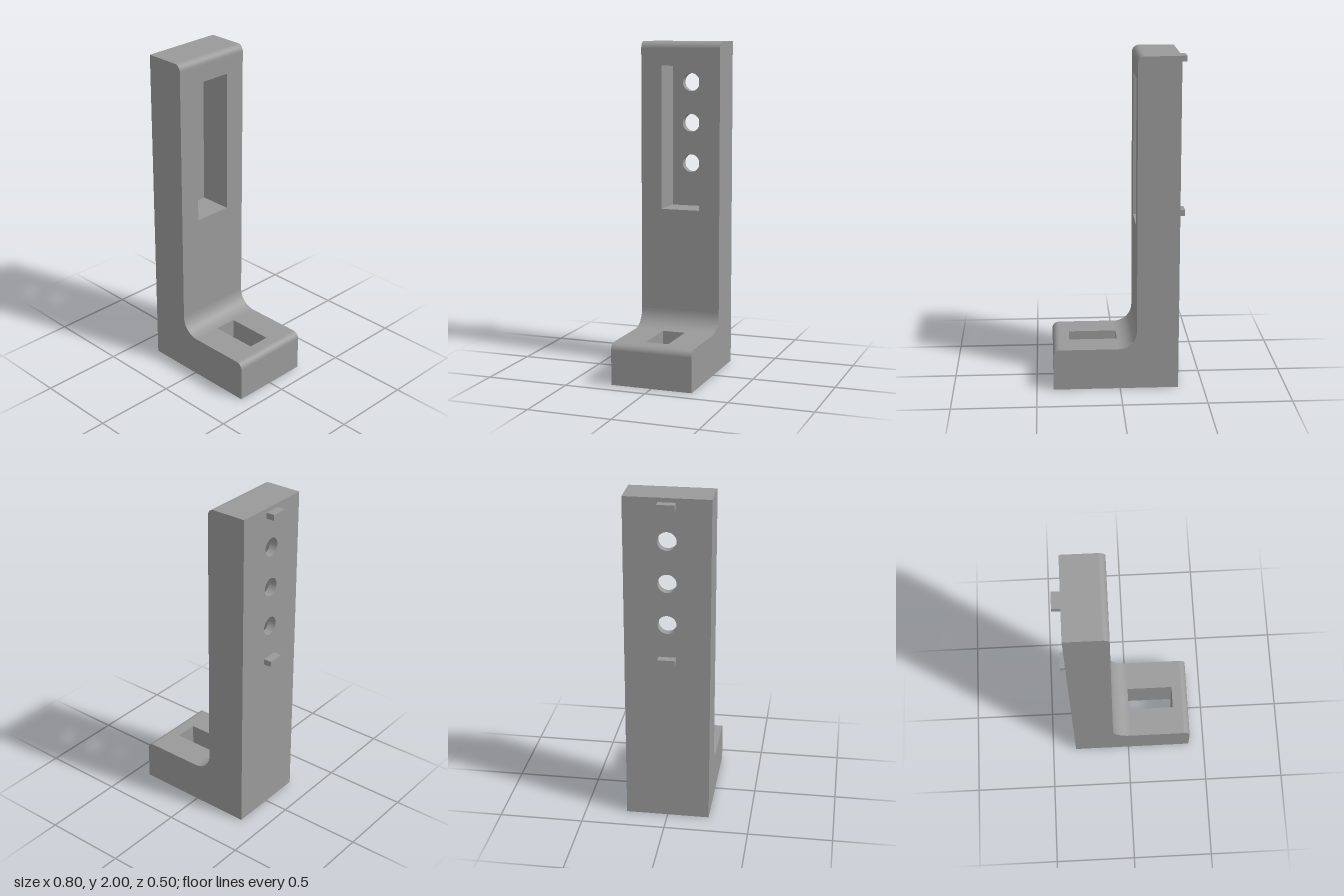
import * as THREE from 'three';

// Key positions
const BACK = -0.35, FACE = -0.1, TOE = 0.4, HALF = 0.25, BASE = 0.25, TOP = 2;
const R = 0.04, FILLET = 0.11;                                  // edge rounds, inner corner
const POCKET = { y0: 0.985, y1: 1.855, z: 0.12, floor: -0.3 };  // recess in the upright
const SLOT = { x0: 0.01, x1: 0.3, z: 0.07 };                    // opening through the foot
const HOLE_R = 0.055, HOLE_Y = [1.25, 1.5, 1.75];

const X = new THREE.Vector3(1, 0, 0), Y = new THREE.Vector3(0, 1, 0), Z = new THREE.Vector3(0, 0, 1);
const neg = v => v.clone().negate();

function rect(u0, u1, v0, v1, PathType = THREE.Shape) {
  return new PathType([[u0, v0], [u1, v0], [u1, v1], [u0, v1]].map(p => new THREE.Vector2(...p)));
}

export function createModel() {
  const group = new THREE.Group();
  const grey = new THREE.MeshStandardMaterial({ color: 0x999999 });

  const add = (name, geometry) => {
    const mesh = new THREE.Mesh(geometry, grey);
    mesh.name = name;
    group.add(mesh);
    return mesh;
  };

  // Flat face spanned by directions u and v, facing u x v, offset along its normal
  const panel = (name, shape, u, v, offset, holes = []) => {
    shape.holes.push(...holes);
    const n = u.clone().cross(v);
    const m = new THREE.Matrix4().makeBasis(u, v, n).setPosition(n.clone().multiplyScalar(offset));
    add(name, new THREE.ShapeGeometry(shape, 24).applyMatrix4(m));
  };

  // Turns a symmetric surface inside out by mirroring it
  const inward = g => {
    g.scale(-1, 1, 1);
    g.computeVertexNormals();
    return g;
  };

  // Inward-facing box walls without the open sides (0..5 = +x -x +y -y +z -z)
  const cavity = (name, x0, x1, y0, y1, z, open) => {
    const g = new THREE.BoxGeometry(x1 - x0, y1 - y0, 2 * z);
    g.setIndex([...g.index.array].filter((_, i) => !open.includes(Math.floor(i / 6))));
    g.clearGroups();
    add(name, inward(g).translate((x0 + x1) / 2, (y0 + y1) / 2, 0));
  };

  // Quarter-round strip running along z
  const round = (name, x, y, r, start, concave) => {
    const g = new THREE.CylinderGeometry(r, r, 2 * HALF, 12, 1, true, start, Math.PI / 2);
    g.rotateX(Math.PI / 2);
    if (concave) {
      // reverse the faces and normals
      g.setIndex([...g.index.array].reverse());
      g.computeVertexNormals();
    }
    add(name, g.translate(x, y, 0));
  };

  // L-shaped side faces
  const profile = new THREE.Shape();
  profile.moveTo(BACK, 0);
  profile.lineTo(TOE, 0);
  profile.absarc(TOE - R, BASE - R, R, 0, Math.PI / 2);
  profile.absarc(FACE + FILLET, BASE + FILLET, FILLET, 1.5 * Math.PI, Math.PI, true);
  profile.absarc(FACE - R, TOP - R, R, 0, Math.PI / 2);
  profile.lineTo(BACK, TOP);
  panel('leftSide', profile, X, Y, HALF);
  const mirrored = new THREE.Shape(profile.getPoints(24).map(p => new THREE.Vector2(-p.x, p.y)).reverse());
  panel('rightSide', mirrored, neg(X), Y, HALF);

  // Upright faces, with round holes behind and the recess opening in front
  const circles = HOLE_Y.map(y => new THREE.Path().absarc(0, y, HOLE_R, 0, 2 * Math.PI));
  panel('uprightBack', rect(-HALF, HALF, 0, TOP), Z, Y, -BACK, circles);
  panel('uprightFace', rect(-HALF, HALF, BASE + FILLET, TOP - R), neg(Z), Y, FACE,
    [rect(-POCKET.z, POCKET.z, POCKET.y0, POCKET.y1, THREE.Path)]);
  panel('uprightTop', rect(BACK, FACE - R, -HALF, HALF), X, neg(Z), TOP);

  // Foot faces with the slot opening
  const slotPath = () => rect(SLOT.x0, SLOT.x1, -SLOT.z, SLOT.z, THREE.Path);
  panel('footTop', rect(FACE + FILLET - 0.001, TOE - R, -HALF, HALF), X, neg(Z), BASE, [slotPath()]);
  panel('footBottom', rect(BACK, TOE, -HALF, HALF), X, Z, 0, [slotPath()]);
  panel('footEnd', rect(-HALF, HALF, 0, BASE - R), neg(Z), Y, TOE);

  // Rounded edges and inner corner
  round('topRound', FACE - R, TOP - R, R, Math.PI / 2);
  round('footRound', TOE - R, BASE - R, R, Math.PI / 2);
  round('innerCorner', FACE + FILLET, BASE + FILLET, FILLET, 1.5 * Math.PI, true);

  // Recess walls and its floor, pierced by the holes
  cavity('recessWalls', POCKET.floor, FACE, POCKET.y0, POCKET.y1, POCKET.z, [0, 1]);
  panel('recessFloor', rect(-POCKET.z, POCKET.z, POCKET.y0, POCKET.y1), neg(Z), Y, POCKET.floor,
    HOLE_Y.map(y => new THREE.Path().absarc(0, y, HOLE_R, 0, 2 * Math.PI)));
  cavity('slotWalls', SLOT.x0, SLOT.x1, 0, BASE, SLOT.z, [2, 3]);

  // Hole walls
  for (const y of HOLE_Y) {
    const depth = POCKET.floor - BACK;
    const g = inward(new THREE.CylinderGeometry(HOLE_R, HOLE_R, depth, 48, 1, true));
    add('holeWall', g.rotateZ(Math.PI / 2).translate(BACK + depth / 2, y, 0));
  }

  // Small locating tabs on the back
  for (const y of [1.0325, 1.9575]) {
    add('backTab', new THREE.BoxGeometry(0.05, 0.035, 0.1)).position.set(BACK - 0.025, y, 0);
  }
  return group;
}
